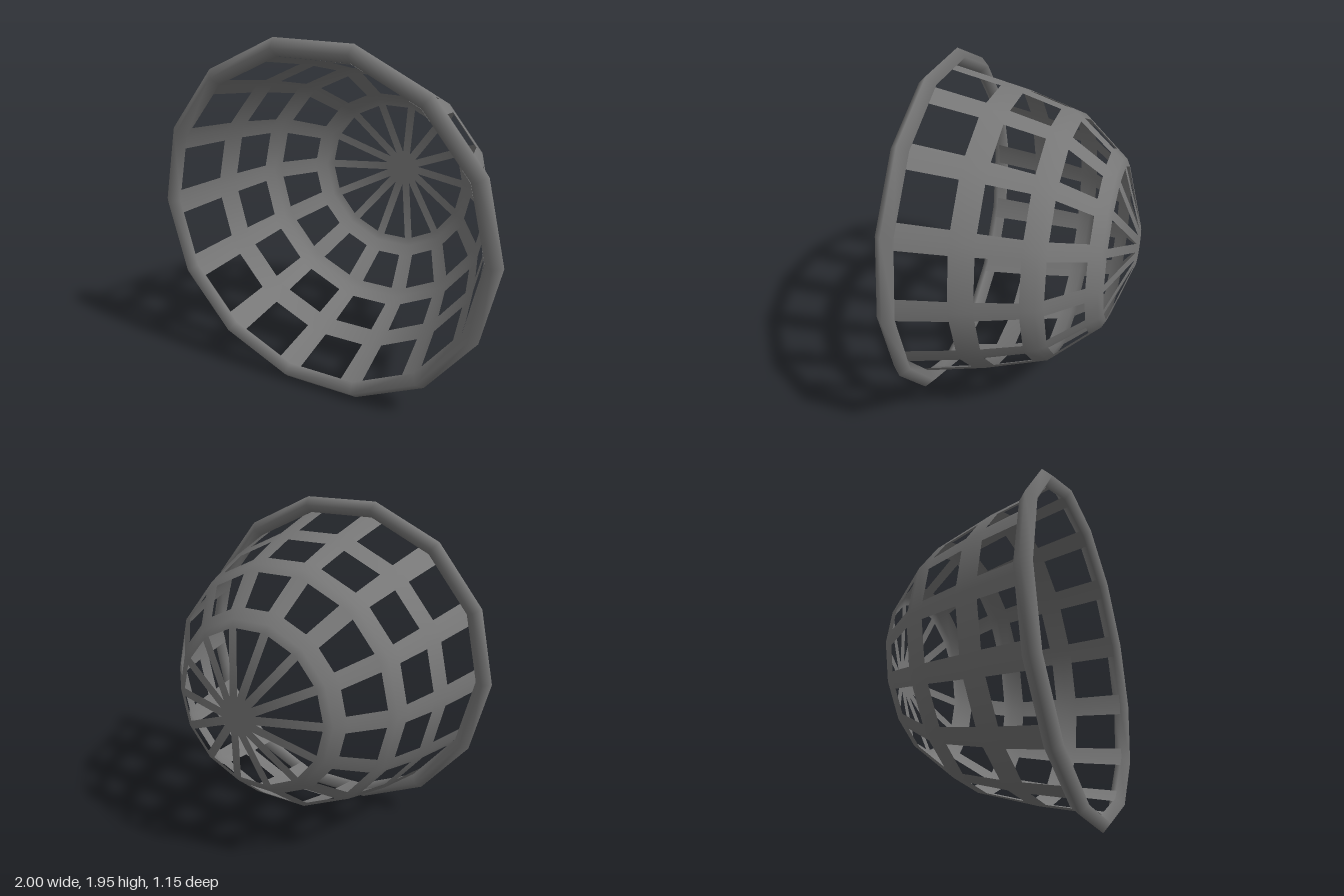
import * as THREE from 'three';

const SIDES = 14;
const STEP = (Math.PI * 2) / SIDES;
const COLOR = 0x777777;

// Basket profile from the open mouth to the back: [z, corner radius, half rib width]
const PROFILE = [
  [0.53, 0.905, 0.071], [0.25, 0.843, 0.065],
  [0.19, 0.83, 0.063], [0.125, 0.81, 0.06],
  [-0.09, 0.745, 0.053],
  [-0.165, 0.722, 0.052], [-0.204, 0.689, 0.051],
  [-0.38, 0.538, 0.048],
  [-0.44, 0.487, 0.03], [-0.462, 0.446, 0.025],
  [-0.575, 0.112, 0.0249], [-0.575, 0, 0],
];

// Smooth outward normal of the profile at station i, as [radial, z]
function profileNormal(i) {
  if (i >= PROFILE.length - 2) return [0, -1];
  const a = PROFILE[Math.max(i - 1, 0)];
  const b = PROFILE[i + 1];
  const n = new THREE.Vector2(a[0] - b[0], b[1] - a[1]).normalize();
  return [n.x, n.y];
}

// Surface between stations first..last: full panels, or only strips folded over the corners
function lattice(first, last, full) {
  const pos = [], nor = [], idx = [];
  const corner = (r, k) => new THREE.Vector2(Math.cos(k * STEP) * r, Math.sin(k * STEP) * r);
  const strip = (pick) => {
    const base = pos.length / 3;
    for (let i = first; i <= last; i++) {
      const [nr, nz] = profileNormal(i);
      for (const [p, angle] of pick(PROFILE[i])) {
        pos.push(p.x, p.y, PROFILE[i][0]);
        nor.push(Math.cos(angle) * nr, Math.sin(angle) * nr, nz);
      }
      if (i < last) {
        const a = base + (i - first) * 2;
        idx.push(a, a + 2, a + 1, a + 1, a + 2, a + 3);
      }
    }
  };
  for (let k = 0; k < SIDES; k++) {
    const edge = (r, w, from, to) => {
      const p = corner(r, from);
      const q = corner(r, to);
      return p.add(q.sub(p).setLength(w));
    };
    if (full) {
      strip(([, r]) => [[corner(r, k), k * STEP], [corner(r, k + 1), (k + 1) * STEP]]);
    } else {
      strip(([, r, w]) => {
        const p = edge(r, w, k, k + 1);
        return [[corner(r, k), k * STEP], [p, Math.atan2(p.y, p.x)]];
      });
      strip(([, r, w]) => {
        const p = edge(r, w, k, k - 1);
        return [[p, Math.atan2(p.y, p.x)], [corner(r, k), k * STEP]];
      });
    }
  }
  const g = new THREE.BufferGeometry();
  g.setAttribute('position', new THREE.Float32BufferAttribute(pos, 3));
  g.setAttribute('normal', new THREE.Float32BufferAttribute(nor, 3));
  g.setIndex(idx);
  return g;
}

export function createModel() {
  const model = new THREE.Group();
  model.name = 'basket';
  const solid = new THREE.MeshStandardMaterial({ color: COLOR });
  const thin = new THREE.MeshStandardMaterial({ color: COLOR, side: THREE.DoubleSide });
  const add = (name, geometry, material = thin) => {
    const mesh = new THREE.Mesh(geometry, material);
    mesh.name = name;
    mesh.position.y = 0.975;
    model.add(mesh);
    return mesh;
  };

  // Thick diamond-section rim round the mouth
  add('rim', new THREE.TorusGeometry(0.9525, 0.0475, 4, SIDES), solid).position.z = 0.527;

  // Ribs running back along the corners
  add('frontRibs', lattice(0, 1, false));
  add('middleRibs', lattice(3, 4, false));
  add('rearRibs', lattice(6, 7, false));
  add('backSpokes', lattice(9, 10, false));

  // Hoops crossing the ribs
  add('frontHoop', lattice(1, 3, true));
  add('middleHoop', lattice(4, 6, true));
  add('rearHoop', lattice(7, 9, true));

  // Flat hub where the spokes meet
  const hub = add('hub', new THREE.CircleGeometry(0.112, SIDES));
  hub.rotation.y = Math.PI;
  hub.position.z = -0.575;
  return model;
}
